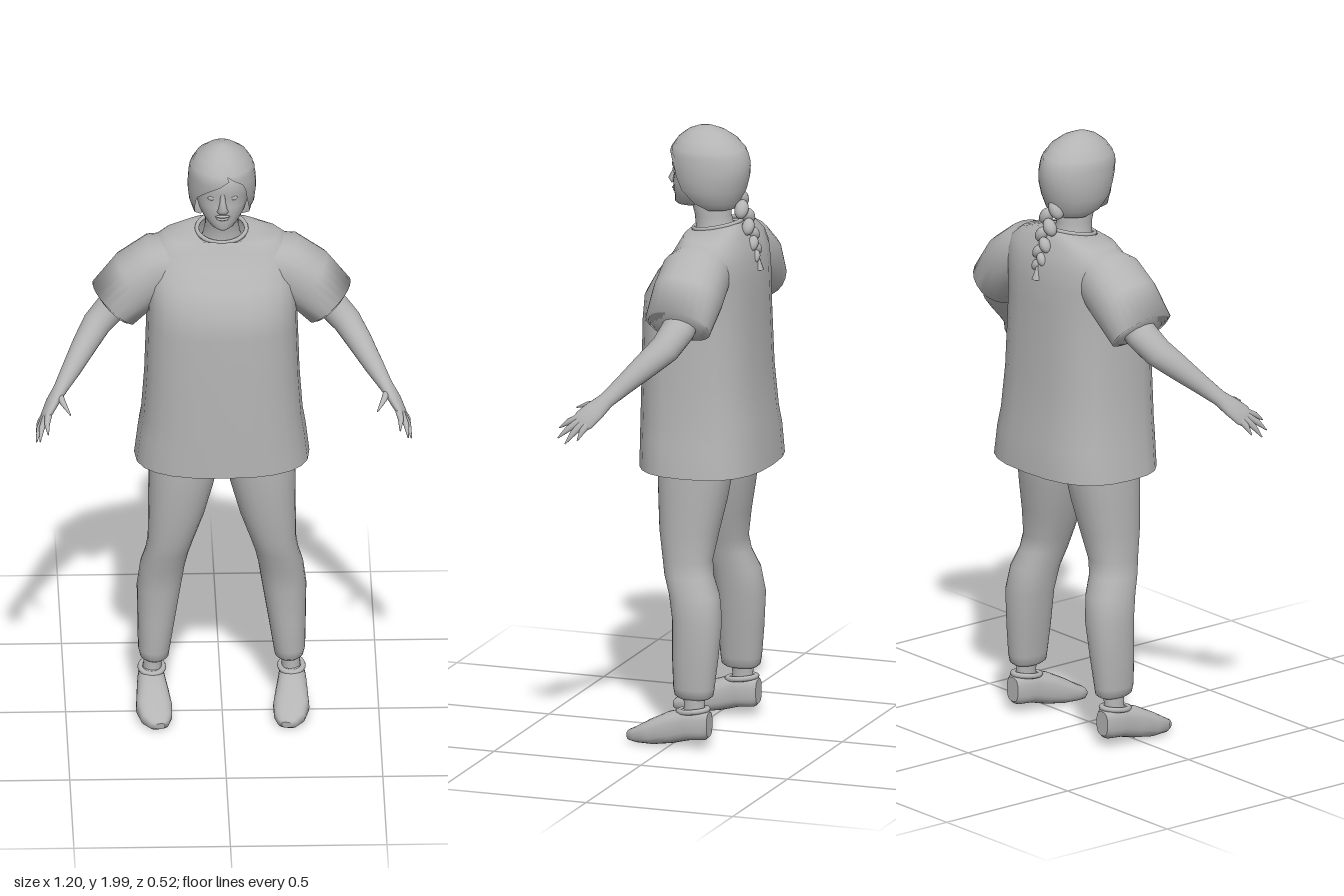
import * as THREE from 'three';

const V = (x, y, z) => new THREE.Vector3(x, y, z);
const clay = new THREE.MeshStandardMaterial({ color: 0xb4b4b4, side: THREE.DoubleSide });
clay.name = 'plain grey';

// Superelliptic ring about c, from angle a0 to a1 measured from v towards u
function ring(c, u, v, n = 2, a0 = 0, a1 = Math.PI * 2, seg = 24) {
  const pts = [];
  const pw = (t) => Math.sign(t) * Math.pow(Math.abs(t), 2 / n);
  for (let j = 0; j <= seg; j++) {
    const a = a0 + ((a1 - a0) * j) / seg;
    pts.push(c.clone().addScaledVector(u, pw(Math.sin(a))).addScaledVector(v, pw(Math.cos(a))));
  }
  return pts;
}

// Skin over rings; closed rings share their seam, ends may be capped
function loft(name, rings, { closed = true, capStart = false, capEnd = false } = {}) {
  const pos = [], idx = [];
  const w = closed ? rings[0].length - 1 : rings[0].length;
  const add = (r) => { for (let j = 0; j < w; j++) pos.push(r[j].x, r[j].y, r[j].z); };
  rings.forEach(add);
  for (let i = 0; i < rings.length - 1; i++) {
    for (let j = 0; j < (closed ? w : w - 1); j++) {
      const k = (j + 1) % w, a = i * w + j, b = i * w + k;
      idx.push(a, b, a + w, b, b + w, a + w);
    }
  }
  const cap = (r, flip) => {
    const s = pos.length / 3;
    add(r);
    const c = V(0, 0, 0);
    for (let j = 0; j < w; j++) c.addScaledVector(r[j], 1 / w);
    pos.push(c.x, c.y, c.z);
    for (let j = 0; j < w; j++) {
      const k = (j + 1) % w;
      if (flip) idx.push(s + w, s + k, s + j);
      else idx.push(s + w, s + j, s + k);
    }
  };
  if (capStart) cap(rings[0], true);
  if (capEnd) cap(rings[rings.length - 1], false);
  const g = new THREE.BufferGeometry();
  g.setAttribute('position', new THREE.Float32BufferAttribute(pos, 3));
  g.setIndex(idx);
  g.computeVertexNormals();
  return part(name, g);
}

function part(name, geometry) {
  const m = new THREE.Mesh(geometry, clay);
  m.name = name;
  return m;
}

// Level section: [y, centre x, half width, front z, back z, tilt]
function level([y, cx, rx, zf, zb, tilt = 0], n, a0, a1) {
  const h = (zf - zb) / 2;
  return ring(V(cx, y, (zf + zb) / 2), V(rx, 0, 0), V(0, tilt * h, h), n, a0, a1);
}

// Sections [x, y, z, radius u, radius v] square to their path
function sweep(name, pts, ref = V(0, 0, 1), n = 2, caps = {}) {
  const c = pts.map((p) => V(p[0], p[1], p[2]));
  return loft(name, pts.map((p, i) => {
    const d = c[Math.min(i + 1, c.length - 1)].clone().sub(c[Math.max(i - 1, 0)]).normalize();
    const v = ref.clone().addScaledVector(d, -ref.dot(d)).normalize();
    const u = d.clone().cross(v);
    return ring(c[i], u.multiplyScalar(p[3]), v.multiplyScalar(p[4]), n);
  }), caps);
}

function ball(name, x, y, z, rx, ry, rz, tilt = 0) {
  const m = part(name, new THREE.SphereGeometry(1, 14, 10));
  m.position.set(x, y, z);
  m.scale.set(rx, ry, rz);
  m.rotation.z = tilt;
  return m;
}

function makeLimbs() {
  const g = new THREE.Group();
  // Wide short sleeve with a turned-in cuff
  g.add(sweep('sleeve', [
    [0.11, 1.58, -0.075, 0.08, 0.09], [0.2, 1.555, -0.075, 0.1, 0.112],
    [0.27, 1.505, -0.075, 0.1, 0.115], [0.345, 1.425, -0.068, 0.092, 0.108],
    [0.346, 1.424, -0.068, 0.082, 0.097], [0.325, 1.445, -0.068, 0.076, 0.09],
  ], V(0, 0, 1), 2.2));
  // Bent arm running into the palm
  g.add(sweep('arm', [
    [0.27, 1.49, -0.08, 0.055, 0.06], [0.35, 1.41, -0.07, 0.05, 0.055],
    [0.4, 1.36, -0.045, 0.046, 0.05], [0.44, 1.31, 0.005, 0.04, 0.042],
    [0.485, 1.25, 0.065, 0.031, 0.032], [0.52, 1.205, 0.11, 0.022, 0.027],
    [0.545, 1.175, 0.14, 0.019, 0.036], [0.565, 1.145, 0.17, 0.015, 0.038],
    [0.572, 1.13, 0.182, 0.009, 0.03],
  ], V(0, 0, 1), 2, { capEnd: true }));
  // Thumb and four fingers: root, tip
  [
    [0.525, 1.195, 0.13, 0.49, 1.165, 0.222],
    [0.56, 1.15, 0.19, 0.562, 1.112, 0.255],
    [0.568, 1.14, 0.185, 0.588, 1.085, 0.25],
    [0.572, 1.135, 0.172, 0.599, 1.07, 0.222],
    [0.57, 1.135, 0.155, 0.598, 1.085, 0.18],
  ].forEach(([x, y, z, X, Y, Z], i) => {
    const mx = (x + X) / 2 + 0.004, my = (y + Y) / 2 + 0.004, mz = (z + Z) / 2;
    g.add(sweep(i ? 'finger' : 'thumb', [
      [x, y, z, 0.012, 0.013], [mx, my, mz, 0.009, 0.01], [X, Y, Z, 0.002, 0.002],
    ], V(0, 0, 1), 2, { capEnd: true }));
  });
  // Trouser leg gathered at the ankle
  g.add(loft('trouserLeg', [
    [0.165, 0.215, 0.034, -0.025, -0.125], [0.175, 0.215, 0.046, -0.012, -0.138],
    [0.2, 0.216, 0.051, -0.008, -0.142], [0.3, 0.209, 0.06, -0.002, -0.152],
    [0.42, 0.2, 0.071, 0.0, -0.16], [0.5, 0.189, 0.072, 0.015, -0.148],
    [0.56, 0.175, 0.07, 0.036, -0.122], [0.61, 0.163, 0.074, 0.046, -0.115],
    [0.7, 0.146, 0.09, 0.062, -0.13], [0.8, 0.131, 0.104, 0.07, -0.15],
    [0.9, 0.119, 0.116, 0.076, -0.165], [1.02, 0.11, 0.118, 0.07, -0.17],
  ].map((r) => level(r, 2.2)), { capStart: true, capEnd: true }));
  g.add(loft('ankle', [
    [0.09, 0.222, 0.034, -0.035, -0.12], [0.14, 0.221, 0.029, -0.045, -0.112],
    [0.19, 0.218, 0.032, -0.04, -0.115],
  ].map((r) => level(r, 2))));
  // Shoe from heel to toe
  g.add(sweep('shoe', [
    [0.225, 0.084, -0.131, 0.028, 0.04], [0.225, 0.084, -0.118, 0.04, 0.05],
    [0.225, 0.081, -0.06, 0.045, 0.052], [0.222, 0.064, 0, 0.052, 0.05],
    [0.219, 0.045, 0.06, 0.058, 0.04], [0.212, 0.031, 0.11, 0.05, 0.026],
    [0.204, 0.024, 0.14, 0.032, 0.018], [0.202, 0.023, 0.15, 0.016, 0.01],
  ], V(0, 1, 0), 2.7, { capStart: true, capEnd: true }));
  const opening = part('shoeOpening', new THREE.TorusGeometry(0.037, 0.009, 8, 20));
  opening.rotation.x = Math.PI / 2 + 0.12;
  opening.scale.y = 1.25;
  opening.position.set(0.223, 0.127, -0.075);
  g.add(opening);
  return g;
}

function makeHead() {
  const g = new THREE.Group();
  g.name = 'head';
  g.add(loft('neck', [
    [1.63, 0, 0.075, 0.0, -0.15], [1.67, 0, 0.06, -0.005, -0.13],
    [1.71, 0, 0.053, 0.0, -0.12], [1.78, 0, 0.055, 0.02, -0.12],
  ].map((r) => level(r, 2))));
  g.add(loft('face', [
    [1.735, 0, 0.022, 0.058, -0.03], [1.745, 0, 0.042, 0.068, -0.07],
    [1.765, 0, 0.06, 0.066, -0.1], [1.79, 0, 0.074, 0.07, -0.12],
    [1.82, 0, 0.083, 0.071, -0.135], [1.85, 0, 0.088, 0.065, -0.14],
    [1.87, 0, 0.09, 0.074, -0.14], [1.91, 0, 0.088, 0.068, -0.14],
    [1.95, 0, 0.07, 0.04, -0.12],
  ].map((r) => level(r, 2.2)), { capStart: true, capEnd: true }));
  g.add(sweep('nose', [
    [0, 1.808, 0.068, 0.018, 0.014], [0, 1.816, 0.074, 0.015, 0.018],
    [0, 1.84, 0.067, 0.009, 0.012], [0, 1.868, 0.066, 0.007, 0.008],
  ], V(0, 0, 1), 2, { capStart: true }));
  g.add(ball('upperLip', 0, 1.789, 0.068, 0.024, 0.005, 0.008));
  g.add(ball('lowerLip', 0, 1.78, 0.066, 0.02, 0.006, 0.008));
  for (const s of [-1, 1]) g.add(ball('eye', s * 0.034, 1.85, 0.056, 0.014, 0.008, 0.007));
  // Hair shell, open over the face, with a side-swept fringe: section, then gap at each side
  g.add(loft('hair', [
    [[1.735, 0, 0.066, 0.02, -0.135], 1.7, 1.7],
    [[1.76, 0, 0.09, 0.045, -0.155], 1.3, 1.3],
    [[1.8, 0, 0.104, 0.065, -0.17], 1.0, 0.95],
    [[1.84, 0, 0.109, 0.075, -0.18], 0.85, 0.8],
    [[1.87, 0, 0.109, 0.08, -0.182], 0.5, 0.75],
    [[1.895, 0, 0.107, 0.083, -0.18], 0.1, 0.65],
    [[1.915, 0, 0.105, 0.081, -0.174], -0.2, 0.35],
    [[1.93, 0, 0.1, 0.075, -0.167], -0.15, 0.15],
    [[1.96, 0, 0.082, 0.054, -0.14], 0, 0],
    [[1.985, 0, 0.05, 0.022, -0.1], 0, 0],
    [[1.997, 0, 0.022, -0.008, -0.065], 0, 0],
    [[2.0, 0, 0.001, -0.035, -0.037], 0, 0],
  ].map(([r, right, left]) => level(r, 2, left, Math.PI * 2 - right)), { closed: false }));
  // Plait of crossing strands, tied off with a tuft
  const path = new THREE.CatmullRomCurve3([V(0, 1.765, -0.15), V(0, 1.7, -0.178), V(0, 1.635, -0.198), V(0, 1.585, -0.208)]);
  for (let i = 0; i < 8; i++) {
    const p = path.getPoint(i / 7), s = i % 2 ? 1 : -1, k = 1 - i * 0.05;
    g.add(ball('plaitStrand', s * 0.017 * k, p.y, p.z, 0.023 * k, 0.034 * k, 0.024 * k, s * 0.6));
  }
  const tuft = part('plaitTuft', new THREE.ConeGeometry(0.018, 0.05, 10));
  tuft.position.set(0, 1.565, -0.214);
  g.add(tuft);
  return g;
}

export function createModel() {
  const model = new THREE.Group();
  model.name = 'figure';
  // Loose long shirt, open at the hem
  model.add(loft('shirt', [
    [0.9, 0, 0.28, 0.152, -0.265], [1.0, 0, 0.268, 0.152, -0.258],
    [1.06, 0, 0.258, 0.152, -0.248], [1.2, 0, 0.248, 0.15, -0.235],
    [1.38, 0, 0.242, 0.147, -0.228], [1.46, 0, 0.24, 0.14, -0.225],
    [1.53, 0, 0.24, 0.1, -0.222], [1.59, 0, 0.238, 0.052, -0.213],
    [1.63, 0, 0.225, 0.026, -0.198], [1.66, 0, 0.185, 0.012, -0.183],
    [1.675, 0, 0.125, 0.006, -0.17, -0.1], [1.678, 0, 0.082, 0.002, -0.155, -0.2],
  ].map((r) => level(r, 2.6))));
  const collar = part('collar', new THREE.TorusGeometry(0.079, 0.007, 8, 32));
  collar.rotation.x = Math.PI / 2 + 0.2;
  collar.position.set(0, 1.68, -0.076);
  model.add(collar);

  const left = makeLimbs();
  left.name = 'leftLimbs';
  const right = makeLimbs();
  right.name = 'rightLimbs';
  right.scale.x = -1;
  model.add(left, right, makeHead());
  return model;
}
